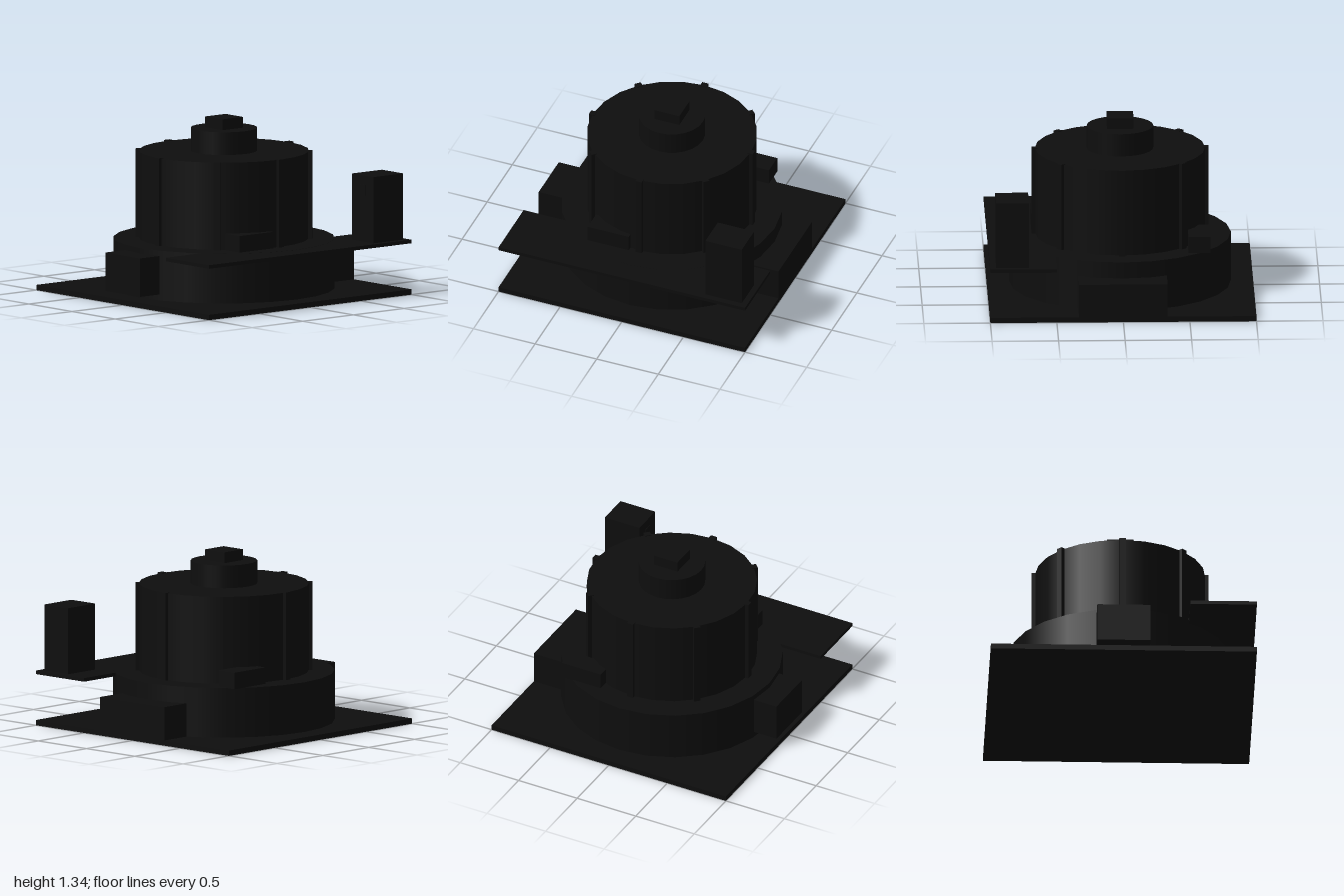
import * as THREE from 'three';

export function createModel() {
  const model = new THREE.Group();
  const black = new THREE.MeshStandardMaterial({ color: 0x0e0e0e });
  black.name = 'nearBlack';

  const add = (name, geometry) => {
    const mesh = new THREE.Mesh(geometry, black);
    mesh.name = name;
    model.add(mesh);
    return mesh;
  };
  // Box given by its extents on each axis
  const box = (name, [x0, x1], [y0, y1], [z0, z1]) =>
    add(name, new THREE.BoxGeometry(x1 - x0, y1 - y0, z1 - z0))
      .position.set((x0 + x1) / 2, (y0 + y1) / 2, (z0 + z1) / 2);
  // Upright drum given by radius and height range
  const drum = (name, radius, y0, y1, sides) =>
    add(name, new THREE.CylinderGeometry(radius, radius, y1 - y0, sides))
      .position.y = (y0 + y1) / 2;

  // Ground plate and stacked drums
  box('basePlate', [-1, 1], [0, 0.04], [-1, 1]);
  drum('lowerDrum', 0.833, 0.04, 0.418, 24);
  drum('upperDrum', 0.64, 0.418, 1.08, 24);
  drum('roofCap', 0.25, 1.08, 1.253, 24);
  box('roofBlock', [-0.1, 0.1], [1.253, 1.335], [-0.1, 0.1]);

  // Eight upright ribs around the upper drum
  for (let i = 0; i < 8; i++) {
    const a = (i * Math.PI) / 4;
    const rib = add('rib', new THREE.BoxGeometry(0.05, 0.667, 0.045));
    rib.position.set(Math.sin(a) * 0.6425, 0.7515, Math.cos(a) * 0.6425);
    rib.rotation.y = a;
  }

  // Side platform with its tower
  box('sidePlatform', [0.5, 1], [0.39, 0.417], [-1, 1]);
  box('tower', [0.708, 0.955], [0.417, 0.92], [-0.955, -0.66]);
  box('towerPanel', [0.8, 0.87], [0.77, 0.85], [-0.66, -0.655]);

  // Entrance block at the front, annex at the back
  box('frontBlock', [-0.2, 0.2], [0.085, 0.377], [0.75, 1]);
  box('backAnnex', [-0.333, 0.333], [0.04, 0.293], [-1, -0.76]);

  // Small blocks at the foot of the upper drum
  box('leftBlock', [0.5, 0.665], [0.417, 0.543], [0.08, 0.413]);
  box('rightBlock', [-0.665, -0.5], [0.417, 0.543], [-0.583, -0.25]);

  return model;
}
